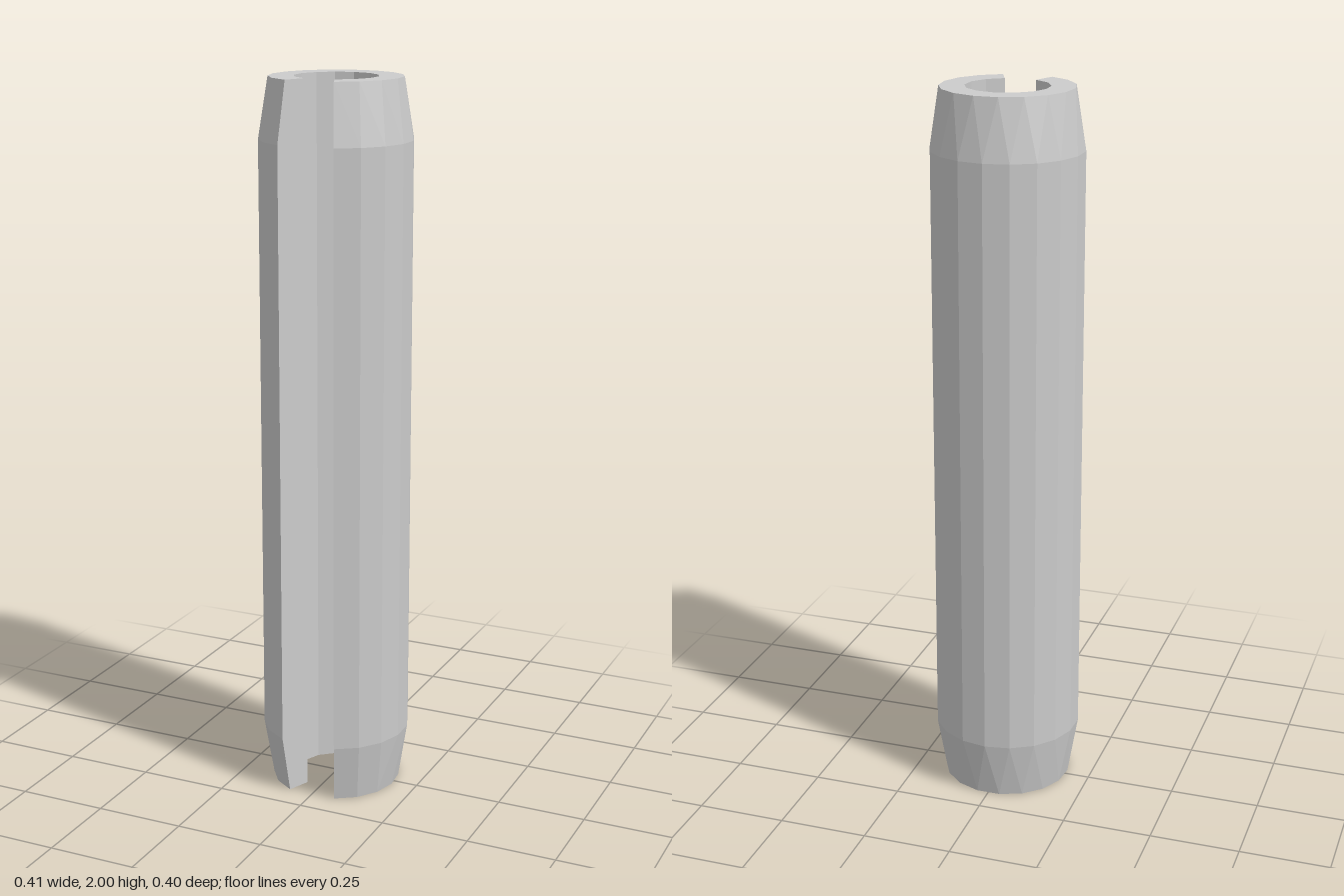
import * as THREE from 'three';

const START = Math.PI / 8;            // half the slot opening, measured from +z
const SWEEP = 2 * Math.PI - 2 * START;
const CENTRE_Z = 0.006;

// Wall section as a closed loop of arcs: [segments, radius, height]
const RINGS = [
  [12, 0.114, 0],      // bore, bottom
  [15, 0.181, 0],      // bottom rim
  [16, 0.208, 0.165],  // lower chamfer edge
  [16, 0.208, 1.835],  // upper chamfer edge
  [15, 0.181, 2],      // top rim
  [12, 0.114, 2],      // bore, top
];

function arcPoints([n, r, y]) {
  return Array.from({ length: n + 1 }, (_, i) => {
    const a = START + (SWEEP * i) / n;
    return new THREE.Vector3(r * Math.sin(a), y, CENTRE_Z + r * Math.cos(a));
  });
}

// Joins two arcs that may have different segment counts
function stitch(a, b, out) {
  const na = a.length - 1, nb = b.length - 1;
  let i = 0, j = 0;
  while (i < na || j < nb) {
    if (j === nb || (i < na && (i + 1) * nb <= (j + 1) * na)) {
      out.push(a[i], a[i + 1], b[j]);
      i++;
    } else {
      out.push(a[i], b[j + 1], b[j]);
      j++;
    }
  }
}

// Flat face closing one side of the slot
function fan(points, out) {
  for (let k = 1; k < points.length - 1; k++) out.push(points[0], points[k], points[k + 1]);
}

export function createModel() {
  const arcs = RINGS.map(arcPoints);
  const triangles = [];

  // Bottom face, chamfers, outer wall, top face and bore
  arcs.forEach((arc, k) => stitch(arc, arcs[(k + 1) % arcs.length], triangles));

  // Two slot faces
  fan(arcs.map((arc) => arc[0]), triangles);
  fan(arcs.map((arc) => arc[arc.length - 1]).reverse(), triangles);

  const geometry = new THREE.BufferGeometry().setFromPoints(triangles);
  geometry.computeVertexNormals();

  const pin = new THREE.Mesh(
    geometry,
    new THREE.MeshStandardMaterial({ color: 0xcccccc, flatShading: true })
  );
  pin.name = 'slottedSpringPin';

  const group = new THREE.Group();
  group.name = 'springPin';
  group.add(pin);
  return group;
}
